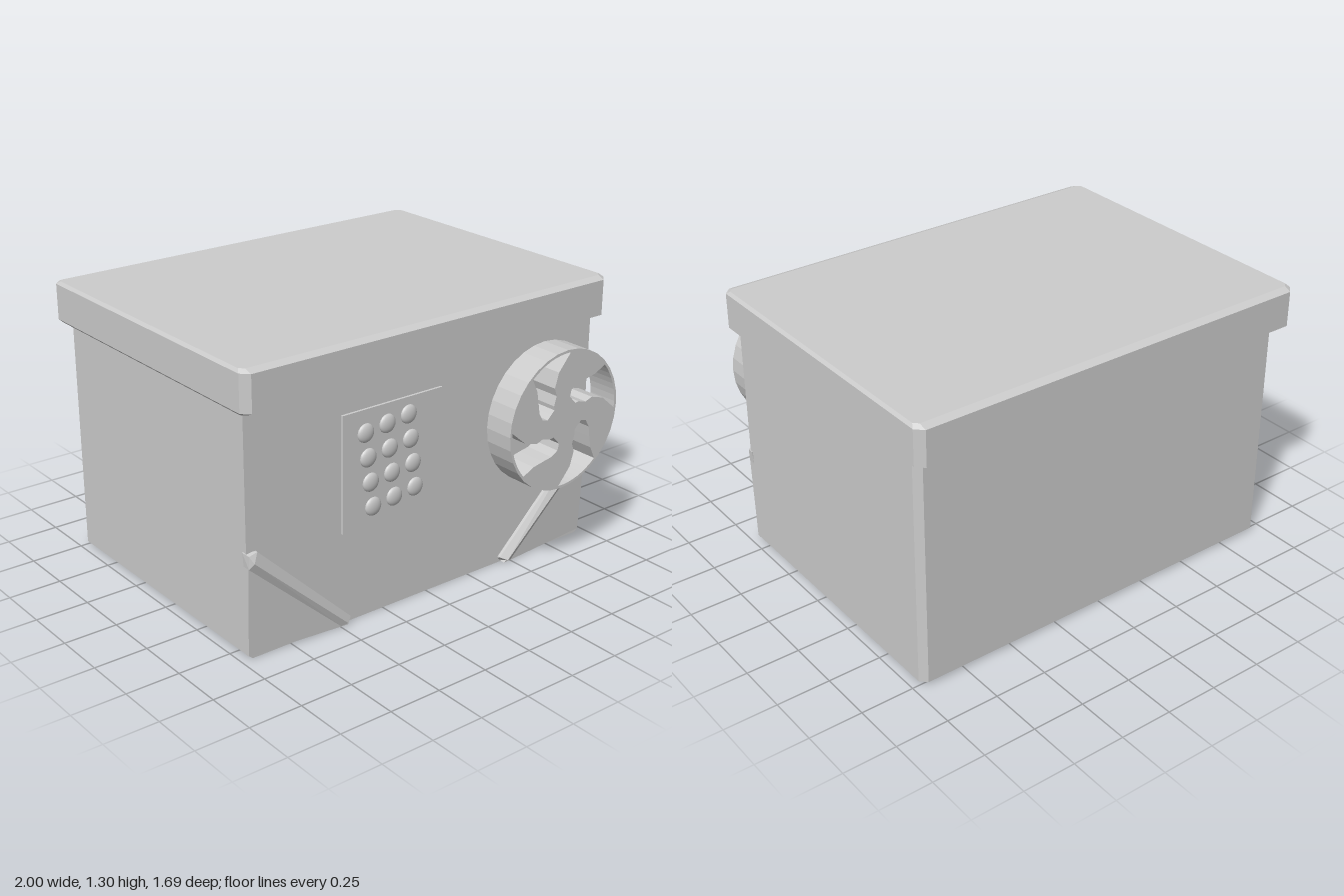
import * as THREE from 'three';
import { ConvexGeometry } from 'three/addons/geometries/ConvexGeometry.js';

const material = new THREE.MeshStandardMaterial({ color: 0xcccccc });
const flat = new THREE.MeshStandardMaterial({ color: 0xcccccc, flatShading: true });
const FRONT = 0.588;

function add(parent, name, geometry, mat = material, x = 0, y = 0, z = 0) {
  const mesh = new THREE.Mesh(geometry, mat);
  mesh.name = name;
  mesh.position.set(x, y, z);
  parent.add(mesh);
  return mesh;
}

// Horizontal outline at height y: a rectangle with cut back and front corners
function outline(y, hx, back, front, cutBack, cutFront) {
  const pts = [];
  for (const s of [-1, 1]) {
    for (const [z, cut, dir] of [[back, cutBack, 1], [front, cutFront, -1]]) {
      pts.push(new THREE.Vector3(s * (hx - cut), y, z));
      if (cut) pts.push(new THREE.Vector3(s * hx, y, z + dir * cut));
    }
  }
  return pts;
}

const solid = (points) => new ConvexGeometry(points);
const v = (x, y, z) => new THREE.Vector3(x, y, z);

// Swirled opening of the wheel, as [radius, angle in degrees]
function wheelHole(turn) {
  const side = [[0.25, 45], [0.205, 54], [0.172, 66], [0.14, 76], [0.108, 76]];
  const inner = [[0.095, 60], [0.092, 46], [0.108, 40], [0.14, 24], [0.18, 23], [0.24, 12]];
  const rim = [];
  for (let a = -3; a <= 41; a += 5.5) rim.push([0.314, a]);
  const pts = [...rim, ...side, ...inner].map(([r, a]) => {
    const t = THREE.MathUtils.degToRad(a + turn);
    return new THREE.Vector2(r * Math.cos(t), r * Math.sin(t));
  });
  return new THREE.Path(pts);
}

function createWheel() {
  const wheel = new THREE.Group();
  wheel.name = 'handWheel';
  const disc = new THREE.Shape().absarc(0, 0, 0.327, 0, Math.PI * 2, false);
  for (let i = 0; i < 4; i++) disc.holes.push(wheelHole(i * 90));
  add(wheel, 'wheelDisc', new THREE.ExtrudeGeometry(disc, {
    depth: 0.145, bevelEnabled: false, curveSegments: 16,
  }), material, 0, 0, 0.702);
  const shaft = new THREE.CylinderGeometry(0.1, 0.1, 0.13, 32).rotateX(Math.PI / 2);
  add(wheel, 'wheelShaft', shaft, material, 0, 0, 0.64);
  wheel.position.set(0.56, 0.767, 0);
  return wheel;
}

function createKeypad() {
  const keypad = new THREE.Group();
  keypad.name = 'keypad';
  add(keypad, 'keypadPlate', new THREE.BoxGeometry(0.54, 0.54, 0.03), flat, -0.21, 0.7, 0.585);
  const button = new THREE.SphereGeometry(0.043, 20, 12).scale(1, 1, 0.42);
  for (let row = 0; row < 4; row++) {
    for (let col = 0; col < 3; col++) {
      add(keypad, 'keypadButton', button, material,
        -0.36 + col * 0.116 + row * 0.014, 0.865 + col * 0.0134 - row * 0.116, 0.6);
    }
  }
  return keypad;
}

// Bottom corner guard: shallow triangular wedge with a raised diagonal ridge
function createCornerGuard(s) {
  const guard = new THREE.Group();
  guard.name = s > 0 ? 'leftCornerGuard' : 'rightCornerGuard';
  const zb = FRONT - 0.02;
  add(guard, 'guardPlate', solid([
    v(s * 0.965, 0.015, zb), v(s * 0.965, 0.46, zb), v(s * 0.46, 0.0, zb),
    v(s * 0.965, 0.015, FRONT), v(s * 0.965, 0.46, 0.605), v(s * 0.46, 0.0, 0.612),
  ]), flat);
  add(guard, 'guardRidge', solid([
    v(s * 0.92, 0.492, zb), v(s * 0.97, 0.49, zb), v(s * 0.965, 0.425, zb),
    v(s * 0.44, 0.03, zb), v(s * 0.445, 0.005, zb), v(s * 0.5, 0.005, zb),
    v(s * 0.92, 0.492, 0.603), v(s * 0.965, 0.485, 0.608),
    v(s * 0.95, 0.455, 0.626), v(s * 0.47, 0.015, 0.626),
    v(s * 0.44, 0.03, 0.603), v(s * 0.965, 0.425, 0.606), v(s * 0.5, 0.005, 0.612),
  ]), flat);
  return guard;
}

export function createModel() {
  const model = new THREE.Group();
  model.name = 'safeBox';

  // Body with cut rear corners and a narrow bottom bevel
  add(model, 'body', solid([
    ...outline(0, 0.945, -0.745, FRONT, 0.03, 0),
    ...outline(0.017, 0.965, -0.774, FRONT, 0.03, 0),
    ...outline(1.12, 0.965, -0.774, FRONT, 0.03, 0),
  ]), flat);

  // Overhanging lid, bevelled above and below
  add(model, 'lid', solid([
    ...outline(1.103, 0.985, -0.81, 0.62, 0.02, 0.02),
    ...outline(1.118, 1, -0.845, 0.655, 0.035, 0.035),
    ...outline(1.284, 1, -0.845, 0.655, 0.035, 0.035),
    ...outline(1.298, 0.988, -0.81, 0.62, 0.02, 0.02),
  ]), flat);

  model.add(createKeypad(), createWheel(), createCornerGuard(1), createCornerGuard(-1));
  return model;
}
